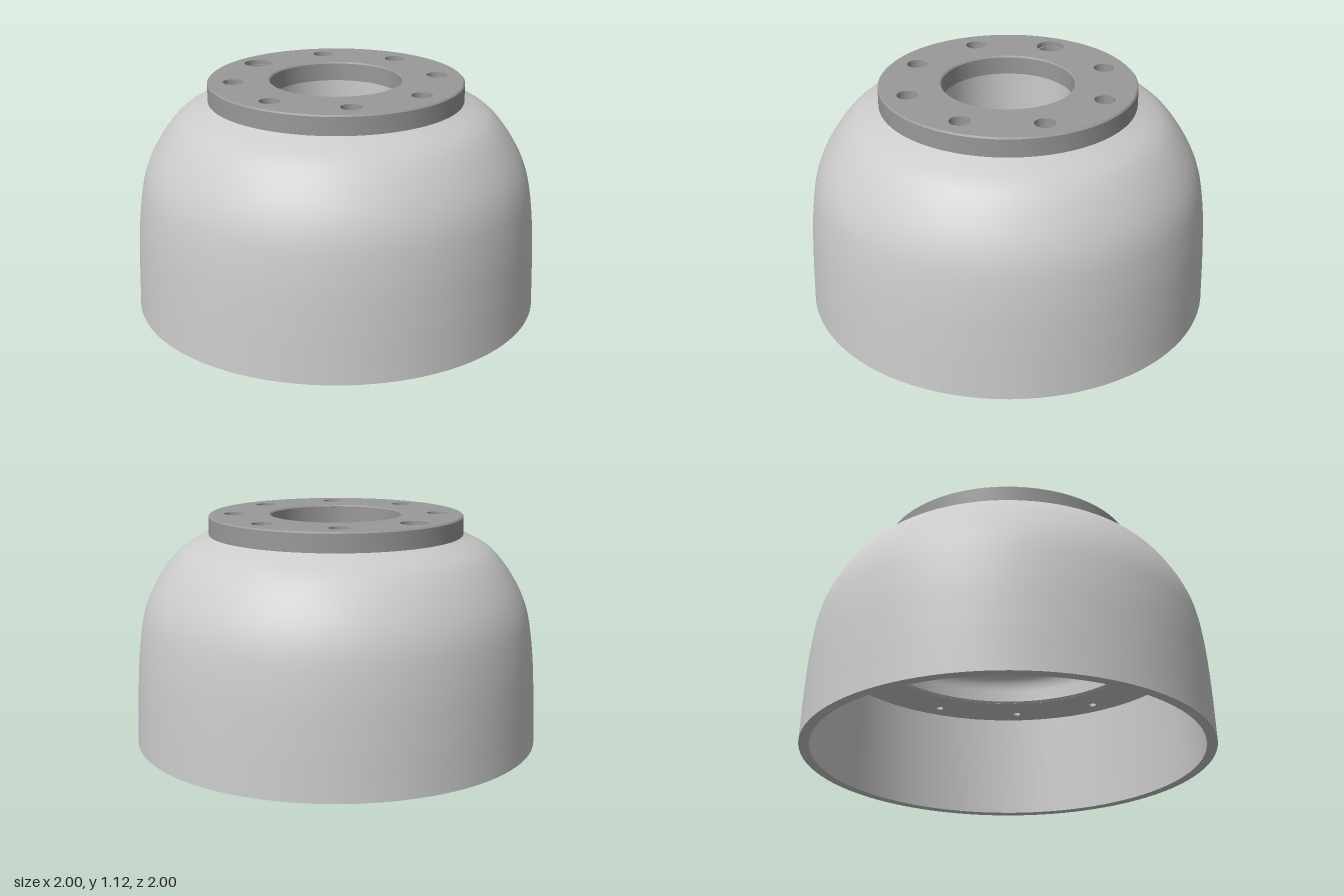
import * as THREE from 'three';
import { toCreasedNormals } from 'three/addons/utils/BufferGeometryUtils.js';

const castGrey = new THREE.MeshStandardMaterial({ color: 0xcccccc });
const darkGrey = new THREE.MeshStandardMaterial({ color: 0x999999 });
const castInside = new THREE.MeshStandardMaterial({ color: 0xcccccc, side: THREE.DoubleSide });

const v = (r, y) => new THREE.Vector2(r, y);

// Holes evenly spaced on a circle; the first one lies towards the back (-z)
function boltCircle(count, radius, holeRadius) {
  return Array.from({ length: count }, (_, i) => {
    const a = Math.PI / 2 + (i * 2 * Math.PI) / count;
    return { x: radius * Math.cos(a), y: radius * Math.sin(a), r: holeRadius };
  });
}

export function createModel() {
  const group = new THREE.Group();

  function add(name, geometry, material = castGrey) {
    const mesh = new THREE.Mesh(geometry, material);
    mesh.name = name;
    group.add(mesh);
    return mesh;
  }

  // Surface of revolution; separate calls keep the edges between them sharp
  function turned(name, points, material) {
    const geometry = new THREE.LatheGeometry(points, 96);
    return add(name, toCreasedNormals(geometry, 0.6), material);
  }

  // Flat drilled ring from height y0 to y1
  function drilledRing(name, inner, outer, y0, y1, holes, material) {
    const shape = new THREE.Shape().absarc(0, 0, outer, 0, Math.PI * 2, false);
    for (const h of [{ x: 0, y: 0, r: inner }, ...holes]) {
      shape.holes.push(new THREE.Path().absarc(h.x, h.y, h.r, 0, Math.PI * 2, true));
    }
    const geometry = new THREE.ExtrudeGeometry(shape, {
      depth: y1 - y0, bevelEnabled: false, curveSegments: 32,
    });
    geometry.rotateX(-Math.PI / 2).translate(0, y0, 0);
    return add(name, toCreasedNormals(geometry, 0.6), material);
  }

  // Domed outer shell
  const dome = new THREE.SplineCurve([
    v(0.997, 0.09), v(0.99, 0.27), v(0.975, 0.48), v(0.942, 0.67),
    v(0.873, 0.82), v(0.765, 0.955), v(0.625, 1.03),
  ]);
  turned('outerShell', [v(1, 0), ...dome.getPoints(40)]);

  // Open lower edge and friction wall
  turned('bottomRim', [v(0.95, 0), v(1, 0)]);
  turned('frictionWall', [v(0.95, 0.55), v(0.95, 0)]);

  // Inner ledge with twelve blind holes
  drilledRing('innerLedge', 0.7, 0.95, 0.55, 0.59, boltCircle(12, 0.855, 0.02));
  turned('ledgeHoleBottoms', [v(0.82, 0.588), v(0.89, 0.588)]);

  // Upper cavity: flat ceiling, rounded corner, wall and small chamfer
  const corner = new THREE.QuadraticBezierCurve(v(0.59, 0.72), v(0.69, 0.72), v(0.69, 0.62));
  turned('upperCavity', [v(0.32, 0.72), ...corner.getPoints(12), v(0.69, 0.56)]);
  turned('cavityChamfer', [v(0.69, 0.56), v(0.7, 0.55)]);

  // Hub: drilled land under the flange, bore and pierced floor
  const bolts = boltCircle(8, 0.5, 0.05);
  bolts[0].r = 0.06;
  drilledRing('hubLand', 0.32, 0.625, 0.95, 1.03, bolts);
  turned('hubBore', [v(0.32, 0.95), v(0.32, 0.77)]);
  drilledRing('hubFloor', 0.185, 0.32, 0.72, 0.77, boltCircle(4, 0.24, 0.02));

  // Rounded ends of the bolt holes
  for (const b of bolts) {
    const bowl = new THREE.SphereGeometry(b.r, 24, 8, 0, Math.PI * 2, Math.PI / 2, Math.PI / 2);
    add('boltHoleEnd', bowl, castInside).position.set(b.x, 0.95, -b.y);
  }

  // Mounting flange in two layers; the back hole is counterbored
  drilledRing('flangeLower', 0.327, 0.618, 1.03, 1.1, bolts, darkGrey);
  const upperBolts = bolts.map((b, i) => (i === 0 ? { ...b, r: 0.068 } : b));
  drilledRing('flangeUpper', 0.327, 0.618, 1.1, 1.125, upperBolts, darkGrey);

  // Chamfered outer and inner edges of the flange
  turned('flangeOuterEdge', [v(0.618, 1.03), v(0.625, 1.03), v(0.625, 1.118), v(0.618, 1.125)], darkGrey);
  turned('flangeInnerEdge', [v(0.327, 1.125), v(0.32, 1.118), v(0.32, 1.03)], darkGrey);

  return group;
}
